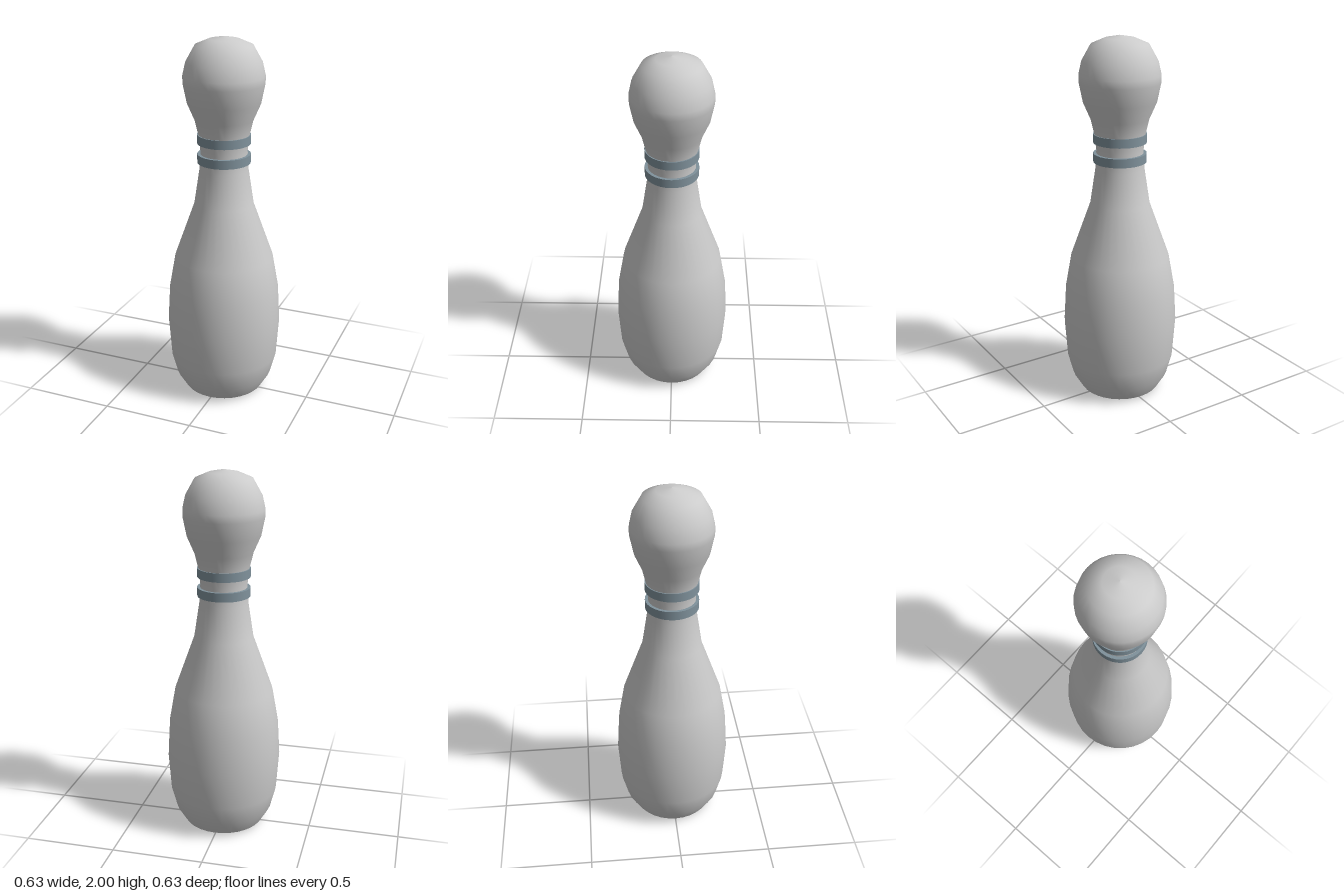
import * as THREE from 'three';

const SIDES = 32;
const grey = new THREE.MeshStandardMaterial({ color: 0xcccccc });
const slate = new THREE.MeshStandardMaterial({ color: 0x80929c });

// Revolves a list of [radius, height] pairs, ordered bottom to top on the outside
function turned(name, profile, material) {
  const points = profile.map(([r, y]) => new THREE.Vector2(r, y));
  const mesh = new THREE.Mesh(new THREE.LatheGeometry(points, SIDES), material);
  mesh.name = name;
  return mesh;
}

// Sharp-edged ring: each face is its own cylinder or ring so the edges stay crisp
function band(name, y, height, radius, inner) {
  const group = new THREE.Group();
  group.name = name;
  const lo = y - height / 2, hi = y + height / 2;
  group.add(
    turned('bandUnderside', [[inner, lo], [radius, lo]], slate),
    turned('bandWall', [[radius, lo], [radius, hi]], slate),
    turned('bandTop', [[radius, hi], [inner, hi]], slate)
  );
  return group;
}

export function createModel() {
  const model = new THREE.Group();
  model.name = 'bowlingPin';

  // Belly, neck and head in one smooth profile
  model.add(turned('body', [
    [0.222, 0.02], [0.27, 0.1], [0.3, 0.215], [0.314, 0.42], [0.302, 0.62],
    [0.268, 0.81], [0.16, 1.11], [0.131, 1.3], [0.125, 1.4], [0.136, 1.49],
    [0.155, 1.57], [0.194, 1.66], [0.214, 1.76], [0.214, 1.8], [0.198, 1.87],
    [0.15, 1.955], [0.08, 1.985], [0, 2],
  ], grey));

  // Slightly domed foot with a crisp rim
  model.add(turned('foot', [[0, 0.005], [0.12, 0.008], [0.222, 0.02]], grey));

  // Two neck stripes
  model.add(band('upperBand', 1.467, 0.048, 0.142, 0.11));
  model.add(band('lowerBand', 1.362, 0.048, 0.142, 0.11));

  return model;
}
